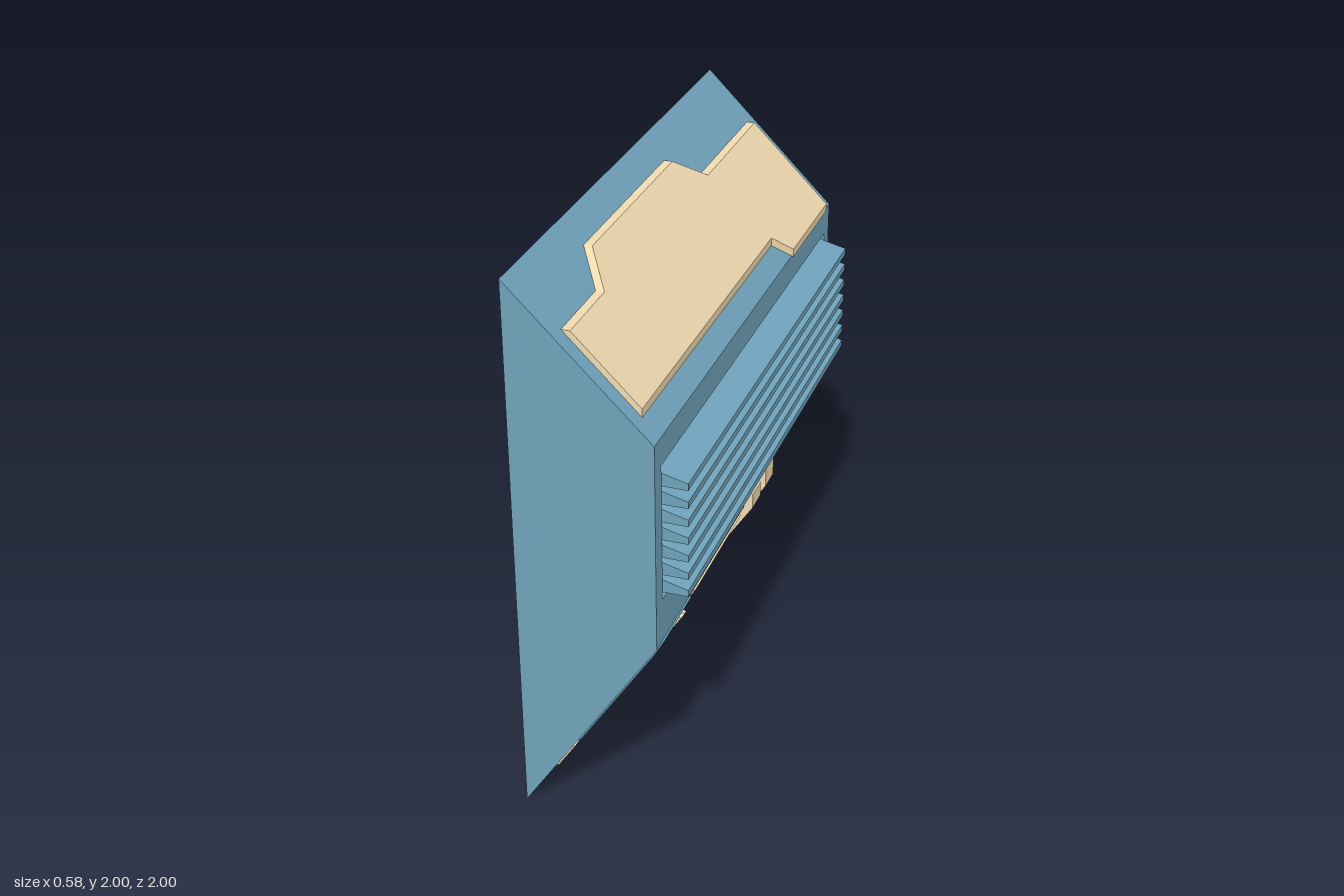
import * as THREE from 'three';

const blue = new THREE.MeshStandardMaterial({ color: 0x70a3bb });
const cream = new THREE.MeshStandardMaterial({ color: 0xf0dab0 });

// slope of the wall at height y
const lower = (y) => -0.29 + 0.653 * y;
const upper = (y) => 1.71 - y;

export function createModel() {
  const model = new THREE.Group();

  function add(name, geometry, material) {
    const mesh = new THREE.Mesh(geometry, material);
    mesh.name = name;
    model.add(mesh);
    return mesh;
  }

  // side profile (x, y) swept from z0 to z1
  function sweep(name, profile, z0, z1, material) {
    const shape = new THREE.Shape(profile.map(([x, y]) => new THREE.Vector2(x, y)));
    const g = new THREE.ExtrudeGeometry(shape, { depth: z1 - z0, bevelEnabled: false });
    return add(name, g.translate(0, 0, z0), material);
  }

  // outline (z, y) laid on a slope; place(y, w) gives [x, y] for base w = 0 and outer face w = 1
  function slab(name, outline, material, inset, place) {
    const shape = new THREE.Shape(outline.map(([z, y]) => new THREE.Vector2(-z, y)));
    const g = new THREE.ExtrudeGeometry(shape, { depth: 1, bevelEnabled: false });
    g.computeBoundingBox();
    const c = g.boundingBox.getCenter(new THREE.Vector3());
    const p = g.attributes.position;
    for (let i = 0; i < p.count; i++) {
      const w = p.getZ(i);
      const u = p.getX(i) - Math.sign(p.getX(i) - c.x) * inset * w;
      const v = p.getY(i) - Math.sign(p.getY(i) - c.y) * inset * w;
      const [x, y] = place(v, w);
      p.setXYZ(i, x, y, -u);
    }
    g.computeVertexNormals();
    return add(name, g, material);
  }

  const rect = (z0, z1, y0, y1, cut = 0) => cut
    ? [[z0 + cut, y0], [z1 - cut, y0], [z1, y0 + cut], [z1, y1 - cut],
      [z1 - cut, y1], [z0 + cut, y1], [z0, y1 - cut], [z0, y0 + cut]]
    : [[z0, y0], [z1, y0], [z1, y1], [z0, y1]];
  const onLower = (thickness) => (y, w) => [lower(y) + thickness * w, y];

  // Wall block, with a shallow vent recess along its vertical face
  const start = [[-0.29, 0], [0.2, 0.75]];
  const end = [[0.2, 1.51], [-0.29, 2]];
  const notch = [[0.2, 0.91], [0.15, 0.91], [0.15, 1.41], [0.2, 1.41]];
  sweep('wallEndBack', [...start, ...end], -1, -0.94, blue);
  sweep('wallMiddle', [...start, ...notch, ...end], -0.94, 0.94, blue);
  sweep('wallEndFront', [...start, ...end], 0.94, 1, blue);

  // Vent backing and seven sloping fins
  sweep('ventBacking', [[0.148, 0.91], [0.152, 0.91], [0.152, 1.41], [0.148, 1.41]], -0.94, 0.94, cream);
  for (let i = 0; i < 7; i++) {
    const y = 0.937 + i * 0.0663;
    sweep('ventFin', [[0.15, y], [0.288, y], [0.288, y + 0.025], [0.15, y + 0.06]], -0.938, 0.938, blue);
  }

  // Stepped plate on the upper slope: top edges stand out sideways, bottom edges upwards
  slab('upperPlate', [
    [0.94, 1.57], [-0.42, 1.57], [-0.49, 1.505], [-0.94, 1.505], [-0.94, 1.83],
    [-0.38, 1.83], [-0.25, 1.92], [0.52, 1.92], [0.65, 1.83], [0.94, 1.83],
  ], cream, 0, (y, w) => (y < 1.6 ? [upper(y), y + 0.03 * w] : [upper(y) + 0.03 * w, y]));

  // Two rails with bent tops, joined by a crossbar
  for (const [z, top] of [[0.015, 0.825], [-0.145, 0.85]]) {
    const profile = [[-0.29, 0], [-0.26, 0], [0.232, 0.75], [0.232, top - 0.02], [0.2, top], [0.2, 0.75]];
    sweep('rail', profile, z - 0.048, z + 0.048, cream);
  }
  const bar = add('railCrossbar', new THREE.CylinderGeometry(0.012, 0.012, 0.08, 8), blue);
  bar.rotation.x = Math.PI / 2;
  bar.position.set(lower(0.645) + 0.008, 0.645, -0.065);

  // Row of three panels
  for (const [y0, y1] of [[0.28, 0.42], [0.44, 0.575], [0.595, 0.73]]) {
    slab('panel', rect(0.08, 0.605, y0, y1), cream, 0.007, onLower(0.012));
  }

  // Hatch with its handle
  slab('hatch', [[0.63, 0.275], [0.97, 0.275], [0.97, 0.69], [0.93, 0.73], [0.63, 0.73]],
    blue, 0.008, onLower(0.012));
  slab('hatchHandle', rect(0.655, 0.71, 0.3, 0.695, 0.012), cream, 0.008, onLower(0.03));

  // Small step pad
  slab('stepPad', rect(0.55, 0.88, 0.04, 0.195, 0.02), cream, 0.01, onLower(0.025));

  return model;
}
